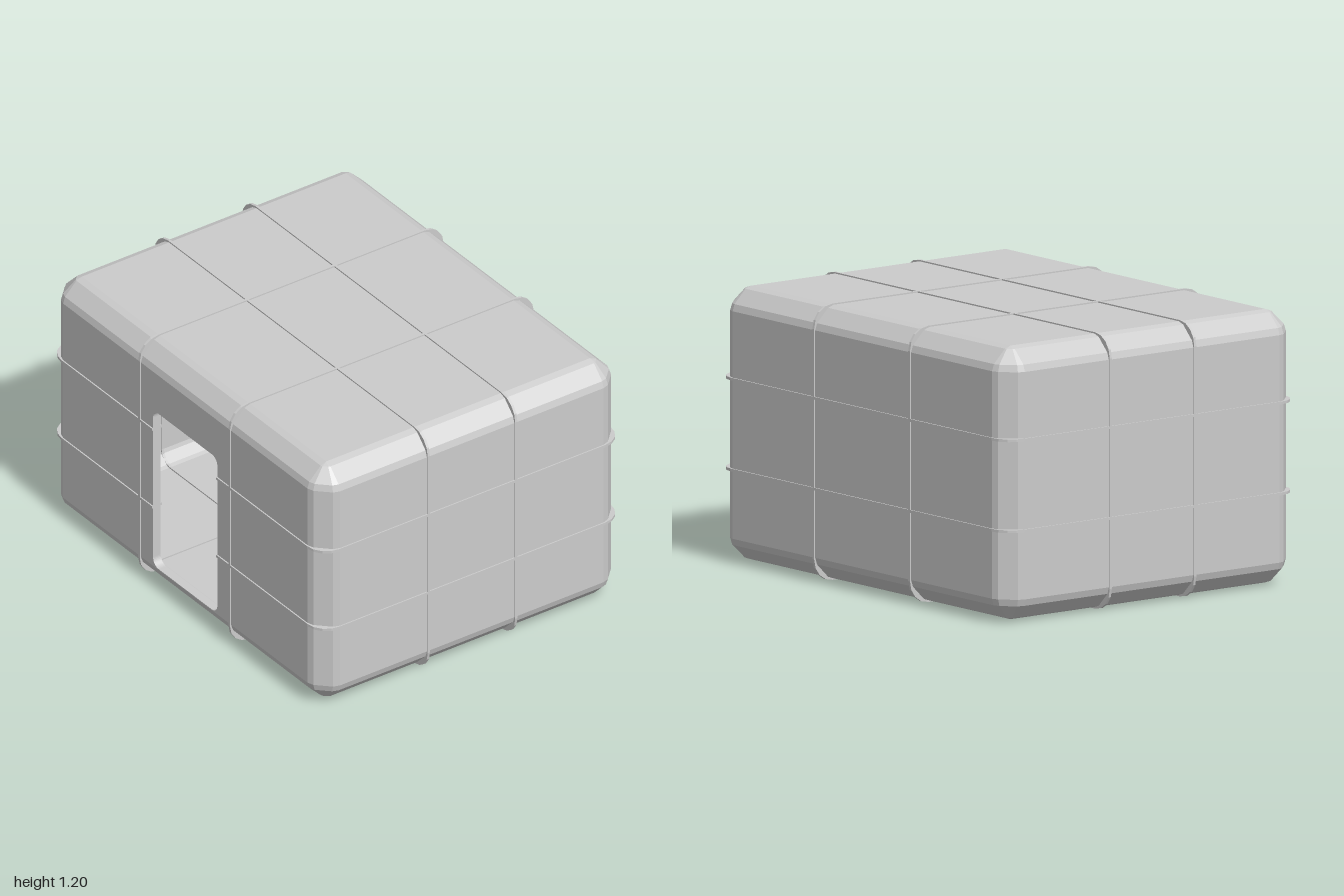
import * as THREE from 'three';

const material = new THREE.MeshStandardMaterial({ color: 0xcccccc, flatShading: true, side: THREE.DoubleSide });
const HALF = [0.993, 0.594, 0.793]; // half sizes of the outer skin
const WALL = 0.04, EDGE = 0.1, MID_Y = 0.6;
const DOOR = { half: 0.235, bottom: 0.11, top: 0.9, radius: 0.04 };

// Bevel as insets from the two faces meeting at an edge, in units of the bevel radius
const BEVEL = [[1, 0], [0.7, 0.1], [0.1, 0.7], [0, 1]];

// Bevelled box skin made of stacked loops; the flat front is left open
function skinGeometry(inset, r, inward) {
  const [hx, hy, hz] = HALF.map((h) => h - inset);
  const rows = [
    ...BEVEL.map(([d, y]) => [d, -hy + y * r]),
    ...[...BEVEL].reverse().map(([d, y]) => [d, hy - y * r]),
  ];
  const corners = [[1, 1], [1, -1], [-1, -1], [-1, 1]];
  const pos = [], index = [];
  for (const [d, y] of rows) {
    corners.forEach(([sx, sz], c) => {
      const bevel = c % 2 ? [...BEVEL].reverse() : BEVEL;
      const k = r * (1 - d);
      for (const [u, v] of bevel) pos.push(sx * (hx - d * r - u * k), y, sz * (hz - d * r - v * k));
    });
  }
  const n = 16, last = (rows.length - 1) * n;
  const tri = (a, b, c) => (inward ? index.push(a, c, b) : index.push(a, b, c));
  const quad = (a, b, c, d) => { tri(a, b, c); tri(a, c, d); };
  for (let j = 0; j < rows.length - 1; j++) {
    for (let i = 0; i < n; i++) {
      if (j === 3 && i === n - 1) continue; // filled by the front panel
      const a = j * n + i, b = j * n + (i + 1) % n;
      quad(a, b, b + n, a + n);
    }
  }
  quad(12, 8, 4, 0);
  quad(last, last + 4, last + 8, last + 12);
  const g = new THREE.BufferGeometry();
  g.setAttribute('position', new THREE.Float32BufferAttribute(pos, 3));
  g.setIndex(index);
  const flat = g.toNonIndexed();
  flat.computeVertexNormals();
  return flat;
}

// Front wall with a rounded doorway
function frontGeometry() {
  const x = HALF[0] - EDGE, y = HALF[1] - EDGE;
  const shape = new THREE.Shape([[-x, -y], [x, -y], [x, y], [-x, y]].map((p) => new THREE.Vector2(p[0], p[1] + MID_Y)));
  const { half: h, bottom: b, top: t, radius: r } = DOOR;
  const hole = new THREE.Path();
  hole.moveTo(-h + r, b).lineTo(h - r, b);
  hole.absarc(h - r, b + r, r, -Math.PI / 2, 0);
  hole.absarc(h - r, t - r, r, 0, Math.PI / 2);
  hole.absarc(-h + r, t - r, r, Math.PI / 2, Math.PI);
  hole.absarc(-h + r, b + r, r, Math.PI, Math.PI * 1.5);
  shape.holes.push(hole);
  const g = new THREE.ExtrudeGeometry(shape, { depth: WALL, bevelEnabled: false, curveSegments: 5 });
  return g.translate(0, 0, HALF[2] - WALL);
}

// Rounded rectangle, starting and ending on its lower side around a gap
function loopPoints(w, h, r, gap) {
  const pts = [new THREE.Vector2(gap, -h)];
  [[1, -1], [1, 1], [-1, 1], [-1, -1]].forEach(([sx, sy], c) => {
    for (let i = 0; i <= 4; i++) {
      const a = (c - 1 + i / 4) * Math.PI / 2;
      pts.push(new THREE.Vector2(sx * (w - r) + r * Math.cos(a), sy * (h - r) + r * Math.sin(a)));
    }
  });
  pts.push(new THREE.Vector2(-gap, -h));
  return pts;
}

// Seam rib that stands slightly proud of the skin inside and outside
function ribGeometry(w, h, gap) {
  const proud = 0.006, width = 0.012, cut = WALL + proud;
  const outer = loopPoints(w + proud, h + proud, EDGE, gap);
  const inner = loopPoints(w - cut, h - cut, EDGE - WALL, gap).reverse();
  const g = new THREE.ExtrudeGeometry(new THREE.Shape([...outer, ...inner]), { depth: width, bevelEnabled: false });
  return g.translate(0, 0, -width / 2);
}

export function createModel() {
  const group = new THREE.Group();
  const add = (name, geometry, x = 0, y = 0, z = 0) => {
    const mesh = new THREE.Mesh(geometry, material);
    mesh.name = name;
    mesh.position.set(x, y, z);
    group.add(mesh);
  };
  const [hx, hy, hz] = HALF;

  // Hollow shell and front wall
  add('outerShell', skinGeometry(0, EDGE, false), 0, MID_Y, 0);
  add('innerShell', skinGeometry(WALL, EDGE - WALL, true), 0, MID_Y, 0);
  add('frontWallWithDoorway', frontGeometry());

  // Seam ribs dividing every side into three by three panels
  for (const s of [-1, 1]) {
    add('crossRib', ribGeometry(hz, hy, 0).rotateY(Math.PI / 2), s * 0.33, MID_Y, 0);
    add('levelRib', ribGeometry(hx, hz, DOOR.half).rotateX(-Math.PI / 2), 0, s > 0 ? 0.8 : 0.405, 0);
    add('lengthRib', ribGeometry(hx, hy, 0), 0, MID_Y, s * 0.23);
  }
  return group;
}
